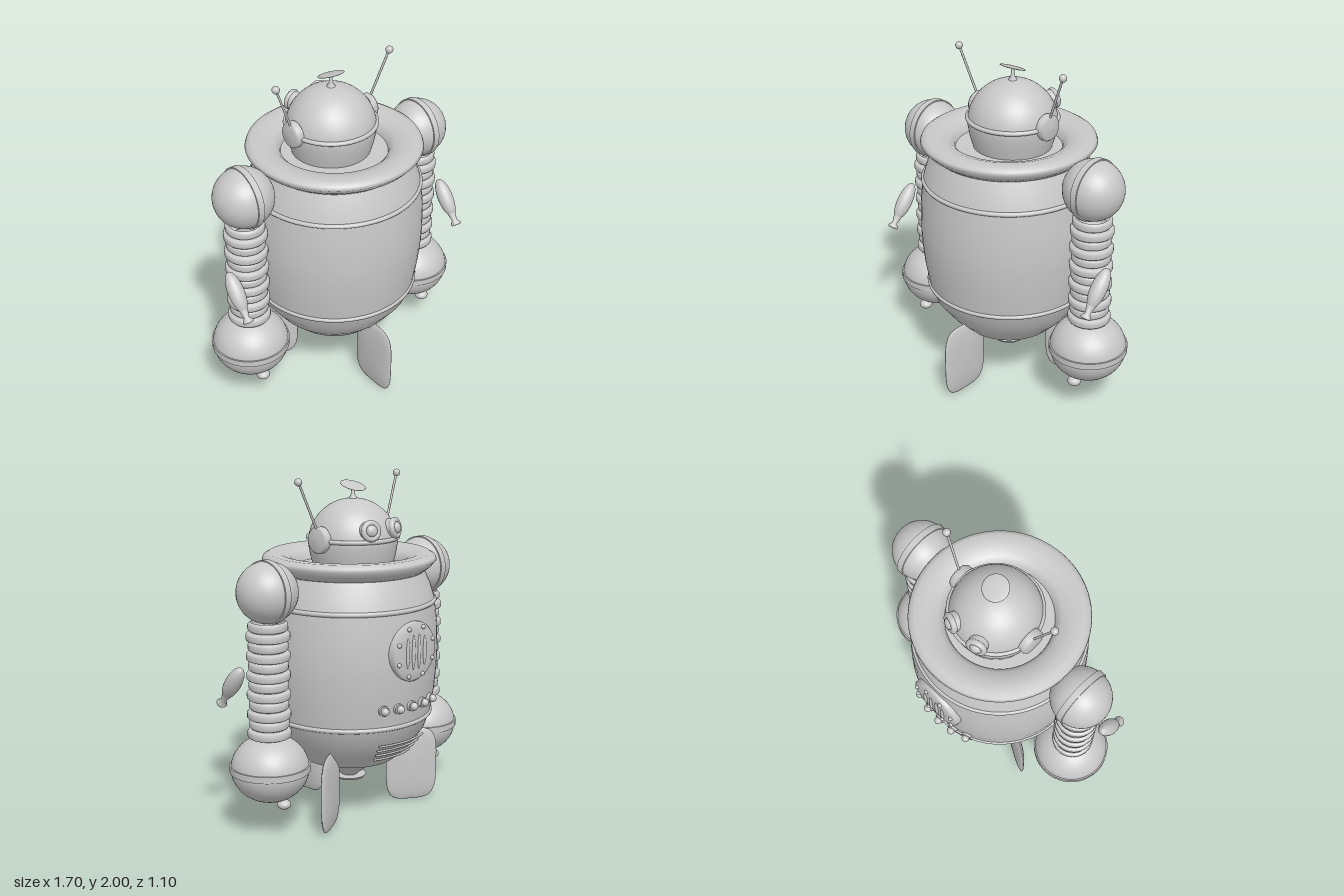
import * as THREE from 'three';

const V2 = (p) => new THREE.Vector2(p[0], p[1]);

export function createModel() {
  const root = new THREE.Group();
  const shell = new THREE.MeshStandardMaterial({ color: 0xc8c8c8, side: THREE.DoubleSide });
  shell.name = 'light grey metal';

  const add = (name, geo, pos = [0, 0, 0], parent = root) => {
    const m = new THREE.Mesh(geo, shell);
    m.name = name;
    m.position.set(...pos);
    parent.add(m);
    return m;
  };
  const group = (name, parent = root) => {
    const g = new THREE.Group();
    g.name = name;
    parent.add(g);
    return g;
  };
  const lathe = (pts, seg = 64) => new THREE.LatheGeometry(pts.map(V2), seg);
  const ring = (r, tube) => new THREE.TorusGeometry(r, tube, 10, 64).rotateX(Math.PI / 2);
  const ball = (r) => new THREE.SphereGeometry(r, 20, 14);

  // Barrel body in three smooth bands with hoops at the joints
  add('bodyLower', lathe([[0.28, 0.335], [0.37, 0.425], [0.445, 0.525], [0.478, 0.62]]));
  add('bodyMiddle', lathe([[0.478, 0.62], [0.5, 0.76], [0.513, 0.9], [0.516, 1.0], [0.512, 1.14], [0.495, 1.285]]));
  add('bodyUpper', lathe([[0.495, 1.285], [0.47, 1.37], [0.43, 1.46]]));
  add('lowerHoop', ring(0.476, 0.014), [0, 0.62, 0]);
  add('upperHoop', ring(0.492, 0.014), [0, 1.285, 0]);

  // Underside, thruster cone and bell
  add('bodyBase', lathe([[0, 0.335], [0.28, 0.335]]));
  add('thrusterCone', lathe([[0.045, 0.205], [0.1, 0.25], [0.17, 0.305], [0.22, 0.335]]));
  add('thrusterBell', new THREE.CylinderGeometry(0.1, 0.09, 0.014, 40), [0, 0.197, 0]);

  // Wide collar and the floor of its recess
  add('collar', lathe([[0.3, 1.46], [0.43, 1.45], [0.475, 1.485], [0.503, 1.517], [0.495, 1.537],
    [0.465, 1.555], [0.4, 1.552], [0.34, 1.53], [0.31, 1.5], [0.3, 1.46]], 72));
  add('collarFloor', new THREE.CylinderGeometry(0.32, 0.32, 0.01, 48), [0, 1.47, 0]);

  // Domed head, set slightly back
  const head = group('head');
  head.position.set(0, 0, -0.03);
  const dome = [[0.225, 1.47], [0.245, 1.54]];
  for (let i = 0; i <= 14; i++) {
    const a = (i / 14) * Math.PI / 2;
    dome.push([0.257 * Math.cos(a), 1.61 + 0.255 * Math.sin(a)]);
  }
  add('headDome', lathe(dome), [0, 0, 0], head);
  add('headBand', ring(0.256, 0.013), [0, 1.645, 0], head);

  // Tilted dish on a small stem
  add('dishStem', lathe([[0.03, 1.855], [0.012, 1.885], [0.007, 1.935], [0, 1.94]], 16), [0, 0, 0], head);
  const dish = add('dish', ball(0.076), [0, 1.935, 0], head);
  dish.scale.y = 0.09;
  dish.rotation.x = -0.34;

  // Thin rod between two points
  const rod = (name, a, b, r, parent) => {
    const path = new THREE.LineCurve3(new THREE.Vector3(...a), new THREE.Vector3(...b));
    add(name, new THREE.TubeGeometry(path, 1, r, 8), [0, 0, 0], parent);
  };

  // Ears, antennas and eyes
  for (const s of [1, -1]) {
    const ear = add('ear', lathe([[0.075, 0], [0.075, 0.035], [0.065, 0.048], [0, 0.052]], 32), [s * 0.24, 1.65, 0], head);
    ear.rotation.z = -s * Math.PI / 2;
    rod('antennaRod', [s * 0.27, 1.69, 0], [s * 0.387, 1.98, 0.03], 0.007, head);
    add('antennaTip', ball(0.022), [s * 0.387, 1.978, 0.03], head);

    const eye = group('eye', head);
    eye.position.set(s * 0.088, 1.705, -0.217);
    eye.lookAt(s * 0.19, 1.76, -0.55);
    add('eyeSocket', new THREE.CylinderGeometry(0.055, 0.055, 0.05, 32).rotateX(Math.PI / 2), [0, 0, 0], eye);
    add('eyeRim', new THREE.TorusGeometry(0.044, 0.017, 10, 32), [0, 0, 0.026], eye);
    add('eyeLens', ball(0.034), [0, 0, 0.034], eye).scale.z = 0.7;
  }

  // Ribbed sleeve profile, ribs alternating in width
  const ribs = [];
  for (let i = 0; i < 12; i++) {
    const y = 0.575 + i * 0.0555, r = i % 2 ? 0.112 : 0.123;
    ribs.push([0.095, y], [r - 0.006, y + 0.006], [r, y + 0.014], [r, y + 0.04], [r - 0.006, y + 0.048], [0.095, y + 0.0545]);
  }

  // Arms
  for (const s of [1, -1]) {
    const arm = group(s > 0 ? 'leftArm' : 'rightArm');
    arm.position.x = s * 0.62;
    add('shoulder', new THREE.SphereGeometry(0.172, 40, 28), [0, 1.4, 0], arm);
    add('shoulderBand', new THREE.CylinderGeometry(0.178, 0.178, 0.038, 56).rotateZ(Math.PI / 2), [0, 1.4, 0], arm);
    add('ribbedSleeve', lathe(ribs, 40), [0, 0, 0], arm);
    add('podBall', new THREE.SphereGeometry(0.222, 44, 30), [0, 0.395, 0], arm).scale.y = 0.87;
    add('podBand', new THREE.CylinderGeometry(0.228, 0.228, 0.038, 56), [0, 0.4, 0], arm);
    for (const z of [0.115, -0.115]) add('podKnob', ball(0.04), [0, 0.207, z], arm).scale.y = 0.7;

    // Small tilted hand with a flared tip
    const hand = group('hand', arm);
    hand.position.set(s * 0.155, 0.895, 0.12);
    hand.rotation.x = -0.66;
    add('handShell', ball(0.047), [0, 0, 0], hand).scale.y = 2.6;
    add('handTip', lathe([[0, -0.185], [0.028, -0.182], [0.032, -0.172], [0.016, -0.15], [0.026, -0.1]], 20), [0, 0, 0], hand);
  }

  // Three rounded fins: spheres squared off in outline
  const fin = new THREE.SphereGeometry(1, 40, 24).rotateZ(Math.PI / 2);
  const p = fin.attributes.position;
  for (let i = 0; i < p.count; i++) {
    const y = p.getY(i), z = p.getZ(i), l = Math.hypot(y, z) || 1;
    const k = 1 / Math.pow((y / l) ** 4 + (z / l) ** 4, 0.25);
    p.setXYZ(i, p.getX(i) * 0.028, y * k * 0.226, z * k * 0.16);
  }
  fin.computeVertexNormals();
  for (let i = 0; i < 3; i++) {
    const a = i * Math.PI * 2 / 3;
    add('fin', fin, [Math.sin(a) * 0.39, 0.23, Math.cos(a) * 0.39]).rotation.y = a;
  }

  // Round speaker plate with bolts and upright slats on the rear
  const plate = group('speaker');
  plate.position.set(0, 1.055, -0.47);
  plate.rotation.y = Math.PI;
  add('speakerPlate', lathe([[0.17, 0], [0.17, 0.045], [0.16, 0.058], [0.11, 0.064], [0, 0.066]], 48).rotateX(Math.PI / 2), [0, 0, 0], plate);
  for (let i = 0; i < 8; i++) {
    const a = (i + 0.5) * Math.PI / 4;
    add('speakerBolt', ball(0.013), [Math.cos(a) * 0.145, Math.sin(a) * 0.145, 0.062], plate);
  }
  for (let i = 0; i < 4; i++) {
    const x = (i - 1.5) * 0.045;
    add('speakerSlat', ball(1), [x, 0, 0.064], plate).scale.set(0.013, Math.abs(x) > 0.05 ? 0.085 : 0.1, 0.012);
  }

  // Row of five buttons
  for (let i = -2; i <= 2; i++) {
    const a = Math.PI + i * 0.19;
    const button = group('button');
    button.position.set(Math.sin(a) * 0.49, 0.737, Math.cos(a) * 0.49);
    button.rotation.y = a;
    add('buttonBase', new THREE.CylinderGeometry(0.03, 0.03, 0.03, 20).rotateX(Math.PI / 2), [0, 0, 0.01], button);
    add('buttonCap', ball(0.023), [0, 0, 0.034], button);
  }

  // Four curved vent bars
  [[0.515, 0.462], [0.48, 0.435], [0.445, 0.408], [0.41, 0.38]].forEach(([y, r]) => {
    const arc = 0.8;
    const bar = new THREE.TorusGeometry(r, 0.007, 6, 28, arc).rotateX(-Math.PI / 2).rotateY(Math.PI / 2 - arc / 2);
    add('ventBar', bar, [0, y, 0]);
  });

  return root;
}
